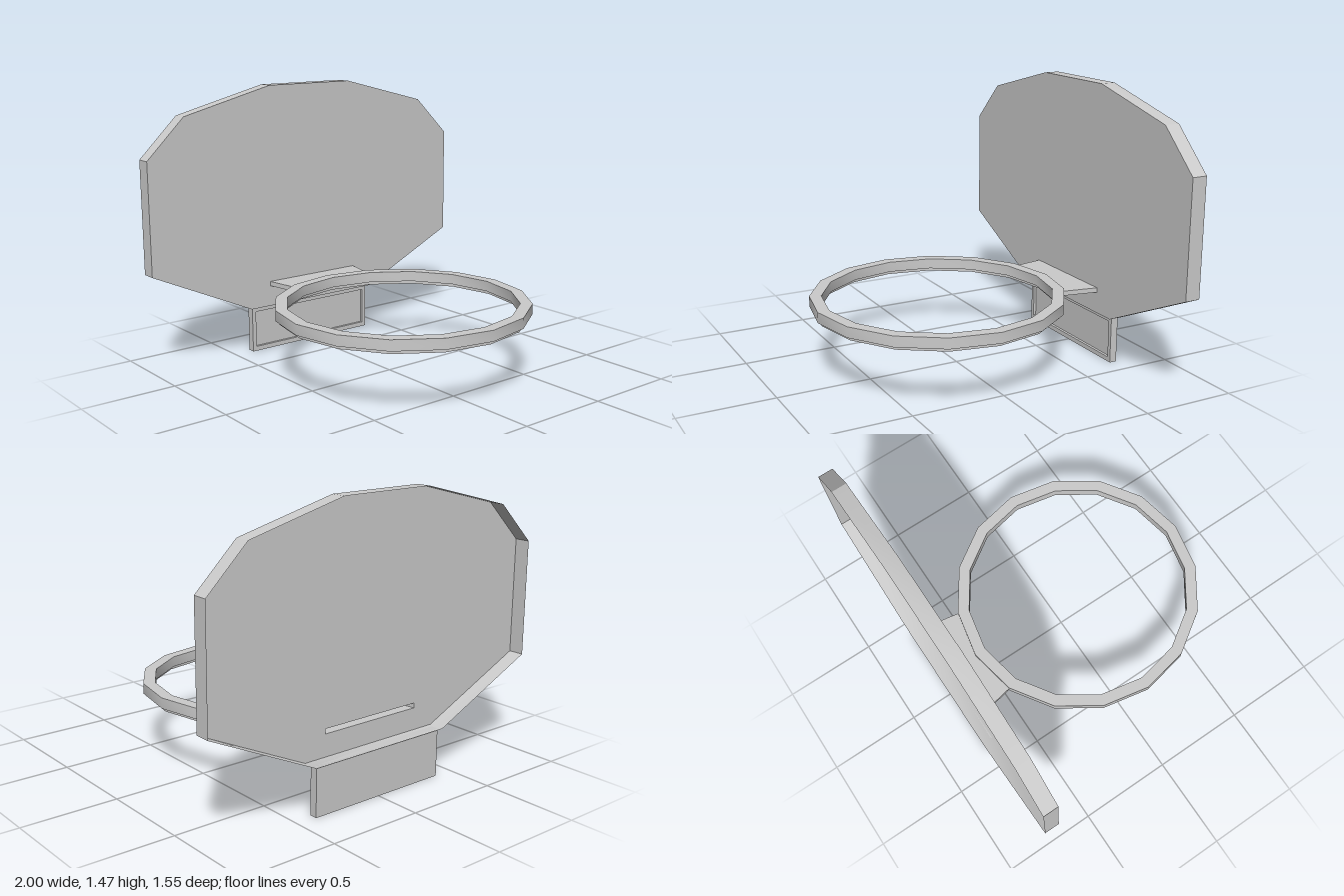
import * as THREE from 'three';
import { toCreasedNormals } from 'three/addons/utils/BufferGeometryUtils.js';

// Double sided because the backboard and bracket are open shells
const material = new THREE.MeshStandardMaterial({ color: 0xcccccc, side: THREE.DoubleSide });

function part(name, geometry) {
  const mesh = new THREE.Mesh(toCreasedNormals(geometry, 0.5), material);
  mesh.name = name;
  return mesh;
}

// Closed outline from its right half, mirrored in x
function mirrored(half) {
  const left = half.map(([x, y]) => [-x, y]).reverse();
  return [...half, ...left].map(([x, y]) => new THREE.Vector2(x, y));
}

const rectangle = (w, y0, y1) => mirrored([[w, y0], [w, y1]]);

function outlineShape(outline, hole) {
  const shape = new THREE.Shape(outline);
  if (hole) shape.holes.push(new THREE.Path(hole));
  return shape;
}

// Solid slab between two z values
function slab(shape, z0, z1) {
  return new THREE.ExtrudeGeometry(shape, { depth: z1 - z0, bevelEnabled: false }).translate(0, 0, z0);
}

// Open-ended wall joining a back outline to a front outline
function wall(back, zBack, front, zFront) {
  const positions = [];
  back.forEach((a, i) => {
    const j = (i + 1) % back.length;
    const a0 = [a.x, a.y, zBack];
    const a1 = [back[j].x, back[j].y, zBack];
    const b0 = [front[i].x, front[i].y, zFront];
    const b1 = [front[j].x, front[j].y, zFront];
    positions.push(...a0, ...a1, ...b1, ...a0, ...b1, ...b0);
  });
  const geometry = new THREE.BufferGeometry();
  geometry.setAttribute('position', new THREE.Float32BufferAttribute(positions, 3));
  return geometry;
}

export function createModel() {
  const group = new THREE.Group();
  group.name = 'basketballHoop';
  const boardFront = -0.692;
  const boardBack = -0.773;

  // Backboard: front face and surrounding wall, open at the back
  const backboard = new THREE.Group();
  backboard.name = 'backboard';
  const outline = mirrored([[0.41, 0.252], [1, 0.528], [1, 1.128], [0.785, 1.338], [0.263, 1.472]]);
  const slot = rectangle(0.288, 0.366, 0.391);
  const face = new THREE.ShapeGeometry(outlineShape(outline, slot)).translate(0, 0, boardFront);
  backboard.add(part('boardFace', face));
  backboard.add(part('boardWall', wall(outline, boardBack, outline, boardFront)));
  group.add(backboard);

  // Hollow tapered bracket from the slot to the rim
  group.add(part('bracket', wall(slot, boardFront, rectangle(0.253, 0.366, 0.391), -0.505)));

  // Mounting panel below the board: solid back and raised front frame
  const panel = new THREE.Group();
  panel.name = 'mountingPanel';
  const panelOutline = rectangle(0.395, 0, 0.252);
  const recess = rectangle(0.372, 0.025, 0.226);
  panel.add(part('panelBack', slab(outlineShape(panelOutline), -0.755, -0.73)));
  panel.add(part('panelFrame', slab(outlineShape(panelOutline, recess), -0.73, -0.715)));
  group.add(panel);

  // Sixteen-sided rim with a thin lip underneath
  const profile = [
    [0.602, 0.351], [0.62, 0.351], [0.62, 0.332], [0.644, 0.332], [0.644, 0.351],
    [0.664, 0.351], [0.664, 0.407], [0.602, 0.407], [0.602, 0.351],
  ].map(([r, y]) => new THREE.Vector2(r, y));
  const rim = part('rim', new THREE.LatheGeometry(profile, 16));
  rim.position.z = 0.109;
  group.add(rim);

  return group;
}
